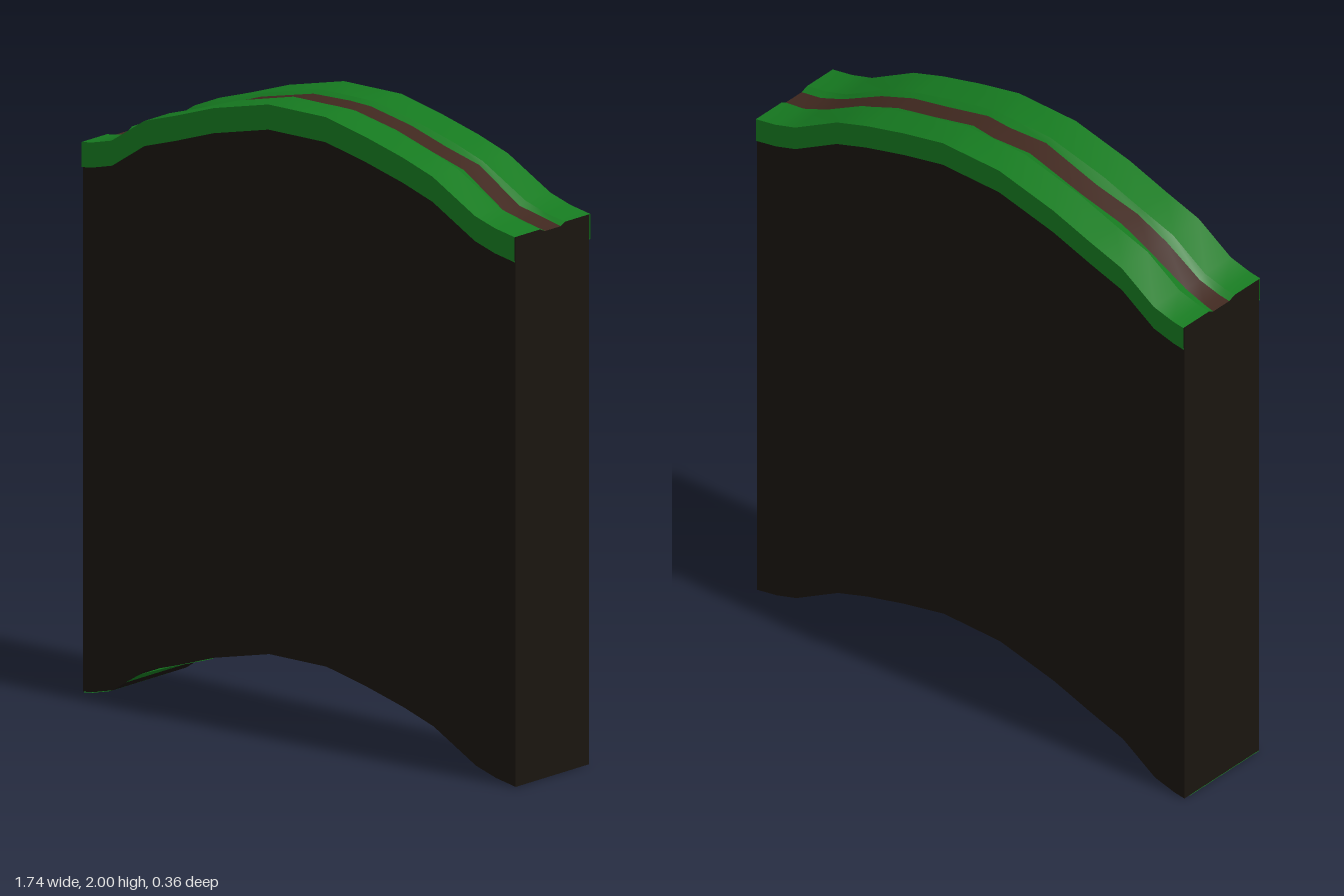
import * as THREE from 'three';

// Stations along the slab: x, ground height, back and front edge of the trail
const STATIONS = [
  [-0.87, 1.75, -0.04, 0.035], [-0.83, 1.755, -0.035, 0.035], [-0.75, 1.775, -0.03, 0.035],
  [-0.62, 1.86, -0.045, 0.03], [-0.49, 1.9, -0.03, 0.043], [-0.34, 1.95, -0.045, 0.025],
  [-0.12, 2, -0.035, 0.04], [0.02, 2, -0.045, 0.03], [0.11, 2, -0.035, 0.035],
  [0.27, 1.965, -0.04, 0.03], [0.42, 1.925, -0.03, 0.04], [0.54, 1.885, -0.045, 0.03],
  [0.71, 1.79, -0.03, 0.045], [0.79, 1.765, -0.045, 0.033], [0.87, 1.75, -0.04, 0.035],
];
const HEIGHT = 1.75;   // slab height, the underside repeats the ground curve
const LIP = 0.08;      // drop of the grass lip
const EDGE = 0.18;     // half depth of the grass
const WALL = 0.175;    // half depth of the earth
const DIP = 0.01;      // the trail lies a little below the grass

const v = (x, y, z) => new THREE.Vector3(x, y, z);
const row = (drop, z) => STATIONS.map((s) => v(s[0], s[1] - drop, typeof z === 'function' ? z(s) : z));
const trailBack = row(DIP, (s) => s[2]);
const trailFront = row(DIP, (s) => s[3]);

// Surface between two rows of points; it faces the side where a, b, next b run counter-clockwise
function ribbon(a, b) {
  const points = [...a, ...b];
  const n = a.length;
  const index = [];
  for (let i = 0; i < n - 1; i++) index.push(i, n + i, n + i + 1, i, n + i + 1, i + 1);
  const geometry = new THREE.BufferGeometry().setFromPoints(points);
  geometry.setIndex(index);
  geometry.computeVertexNormals();
  return geometry;
}

// Ribbons between each row of a section and the next
function skin(group, name, rows, material) {
  for (let i = 0; i < rows.length - 1; i++) {
    const mesh = new THREE.Mesh(ribbon(rows[i], rows[i + 1]), material);
    mesh.name = name;
    group.add(mesh);
  }
}

// Height of the underside at x
function underside(x) {
  const i = Math.max(1, STATIONS.findIndex((s) => s[0] >= x));
  const [p, q] = [STATIONS[i - 1], STATIONS[i]];
  return p[1] + (q[1] - p[1]) * (x - p[0]) / (q[0] - p[0]) - HEIGHT;
}

export function createModel() {
  const model = new THREE.Group();
  model.name = 'terrainSlab';
  const side = THREE.DoubleSide;
  const earthMat = new THREE.MeshStandardMaterial({ color: 0x1a150f, side });
  const grassMat = new THREE.MeshStandardMaterial({ color: 0x167a20, side });
  const trailMat = new THREE.MeshStandardMaterial({ color: 0x40281f, side });

  // Earth: front wall, underside and back wall
  const earth = new THREE.Group();
  earth.name = 'earth';
  skin(earth, 'earthWall', [
    row(LIP, WALL), row(HEIGHT, WALL), row(HEIGHT, -WALL), row(LIP, -WALL),
  ], earthMat);

  // Earth end walls, following the section of the ground
  for (const end of [0, STATIONS.length - 1]) {
    const [x, y, back, front] = STATIONS[end];
    let top = [v(x, y, WALL), v(x, y, 0.06), v(x, y - DIP, front),
      v(x, y - DIP, back), v(x, y, -0.06), v(x, y, -WALL)];
    if (x < 0) top = top.reverse();
    skin(earth, 'endWall', [top, top.map((p) => v(x, y - HEIGHT, p.z))], earthMat);
  }

  // Grass: lip, flat bank and slope down to the trail, on each side
  const grass = new THREE.Group();
  grass.name = 'grass';
  skin(grass, 'backGrass', [
    row(LIP, -WALL), row(LIP, -EDGE), row(0, -EDGE), row(0, -0.06), trailBack,
  ], grassMat);
  skin(grass, 'frontGrass', [
    trailFront, row(0, 0.06), row(0, EDGE), row(LIP, EDGE), row(LIP, WALL),
  ], grassMat);

  // Green patch with a stepped edge under one end; strips of x, z pairs
  const patchEdge = [[-0.87, -0.15], [-0.83, -0.13], [-0.76, -0.1], [-0.64, -0.095], [-0.64, -0.01],
    [-0.53, 0.02], [-0.53, 0.07], [-0.4, 0.1], [-0.35, WALL]];
  const onUnderside = (x, z) => v(x, underside(x) - 0.002, z);
  skin(grass, 'undersidePatch', [
    patchEdge.map(([x]) => onUnderside(x, WALL)),
    patchEdge.map(([x, z]) => onUnderside(x, z)),
  ], grassMat);

  // Winding trail along the middle
  const trail = new THREE.Group();
  trail.name = 'trail';
  skin(trail, 'trailSurface', [trailBack, trailFront], trailMat);

  model.add(earth, grass, trail);
  return model;
}
